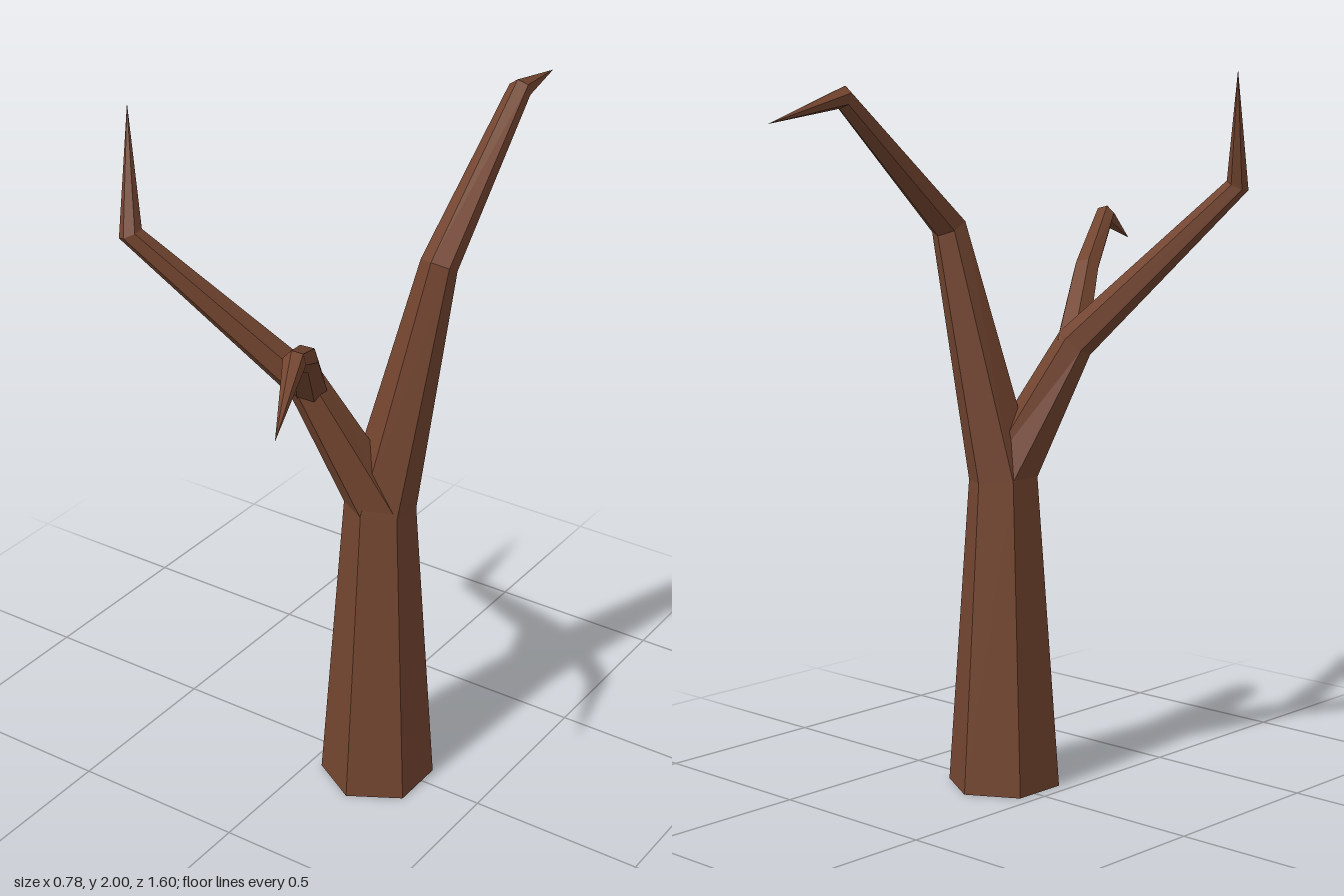
import * as THREE from 'three';

const bark = new THREE.MeshStandardMaterial({ color: 0x734530, flatShading: true, side: THREE.DoubleSide });
bark.name = 'brown bark';

// Sweeps a tapering hexagon along joints [x, y, z, radius]; rings lean halfway between segments.
function limb(name, joints, startDirection) {
  const sides = 6;
  const points = joints.map(([x, y, z]) => new THREE.Vector3(x, y, z));
  const directions = points.slice(1).map((p, i) => p.clone().sub(points[i]).normalize());
  const u = new THREE.Vector3(0, 0, 1);

  const rings = points.map((p, j) => {
    const before = j === 0 ? (startDirection || directions[0]) : directions[j - 1];
    const after = j === 0 ? before : (directions[j] || before);
    const t = before.clone().add(after).normalize();
    u.addScaledVector(t, -u.dot(t)).normalize();
    const v = t.clone().cross(u);
    return Array.from({ length: sides }, (_, i) => {
      const a = (i / sides) * Math.PI * 2;
      return p.clone()
        .addScaledVector(u, Math.cos(a) * joints[j][3])
        .addScaledVector(v, Math.sin(a) * joints[j][3]);
    });
  });

  const corners = [];
  for (let j = 0; j < rings.length - 1; j++) {
    for (let i = 0; i < sides; i++) {
      const k = (i + 1) % sides;
      const [a, b, c, d] = [rings[j][i], rings[j][k], rings[j + 1][k], rings[j + 1][i]];
      corners.push(a, b, c);
      if (joints[j + 1][3] > 0) corners.push(a, c, d); // pointed tips need one triangle only
    }
  }
  const geometry = new THREE.BufferGeometry().setFromPoints(corners);
  geometry.computeVertexNormals();
  const mesh = new THREE.Mesh(geometry, bark);
  mesh.name = name;
  return mesh;
}

export function createModel() {
  const tree = new THREE.Group();
  tree.name = 'bareTree';
  const up = new THREE.Vector3(0, 1, 0);

  // Trunk, open underneath, running on into the tall rear branch
  tree.add(limb('trunkAndRearBranch', [
    [0.175, 0, 0.02, 0.16],
    [0.175, 0.88, 0.02, 0.098],
    [0.282, 1.575, -0.08, 0.05],
    [0.278, 1.93, -0.47, 0.031],
    [0.195, 1.87, -0.797, 0],
  ], up));

  // Front branch leaving the trunk and bending out to the right
  tree.add(limb('frontBranch', [
    [0.175, 0.88, 0.02, 0.096],
    [0.025, 1.255, 0.15, 0.053],
    [-0.33, 1.69, 0.412, 0.032],
    [-0.39, 2, 0.33, 0],
  ], up));

  // Smaller branch forking off toward the front
  tree.add(limb('forkBranch', [
    [0.03, 1.24, 0.14, 0.048],
    [0.148, 1.44, 0.335, 0.037],
    [0.288, 1.573, 0.575, 0.029],
    [0.39, 1.49, 0.8, 0],
  ]));

  return tree;
}
